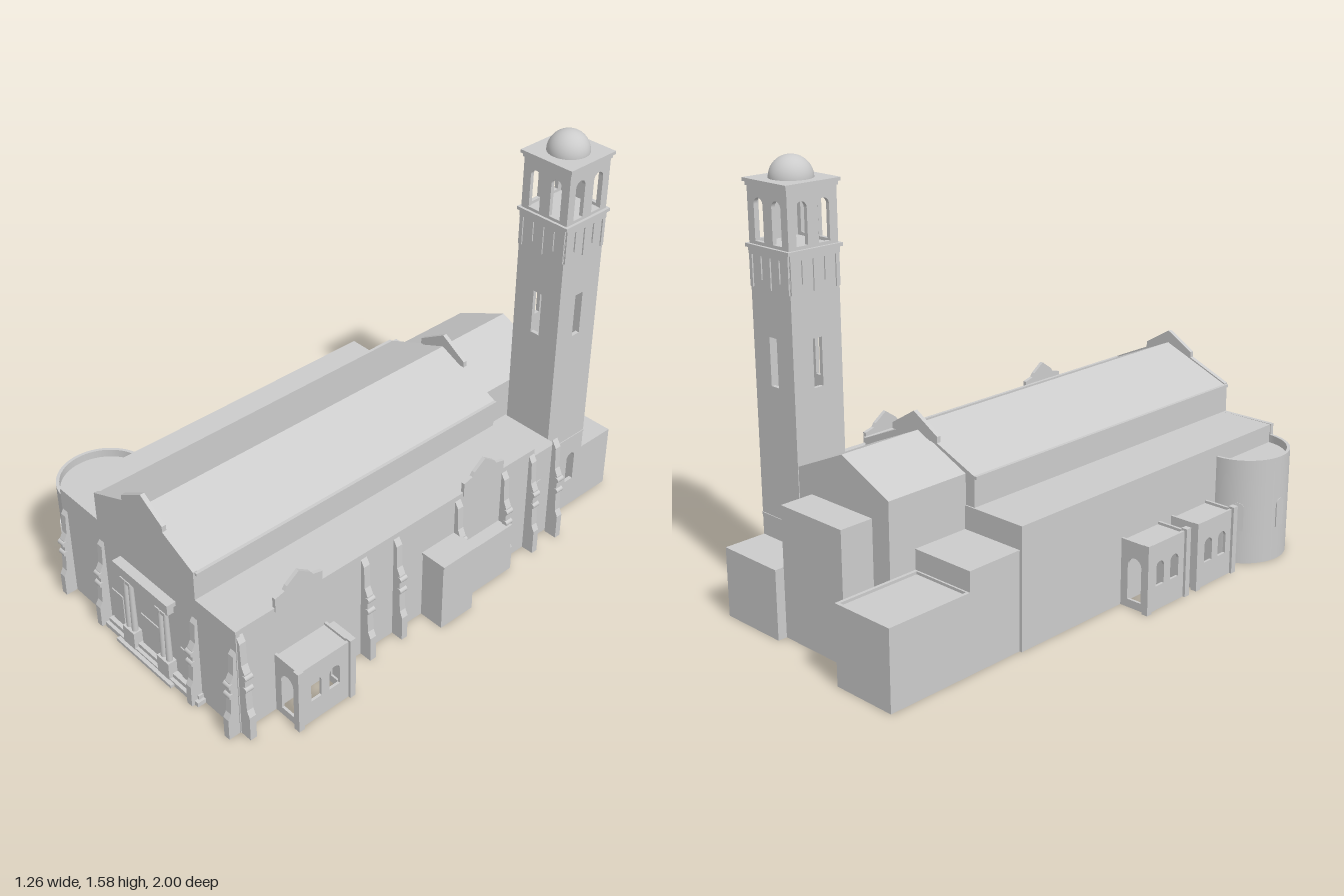
import * as THREE from 'three';
import { toCreasedNormals } from 'three/addons/utils/BufferGeometryUtils.js';

const mat = new THREE.MeshStandardMaterial({ color: 0xcccccc, side: THREE.DoubleSide });

function add(parent, name, geo, x = 0, y = 0, z = 0, ry = 0) {
  const m = new THREE.Mesh(geo, mat);
  m.name = name;
  m.position.set(x, y, z);
  m.rotation.y = ry;
  parent.add(m);
  return m;
}

// Box given by its limits on each axis
function block(parent, name, x0, x1, y0, y1, z0, z1) {
  return add(parent, name, new THREE.BoxGeometry(x1 - x0, y1 - y0, z1 - z0),
    (x0 + x1) / 2, (y0 + y1) / 2, (z0 + z1) / 2);
}

const poly = pts => new THREE.Shape(pts.map(p => new THREE.Vector2(...p)));
const extrude = (shape, depth) =>
  new THREE.ExtrudeGeometry(shape, { depth, bevelEnabled: false, curveSegments: 24 });

// Round-headed opening outline
function arch(cx, w, y0, y1) {
  const s = new THREE.Shape(), r = w / 2;
  s.moveTo(cx - r, y0);
  s.lineTo(cx + r, y0);
  s.lineTo(cx + r, y1 - r);
  s.absarc(cx, y1 - r, r, 0, Math.PI, false);
  s.lineTo(cx - r, y0);
  return s;
}

// Upright wall centred on x, with openings
function wall(w, h, t, holes) {
  const s = poly([[-w / 2, 0], [w / 2, 0], [w / 2, h], [-w / 2, h]]);
  s.holes.push(...holes);
  return extrude(s, t);
}

// Stepped buttress with two roll mouldings; local +z points outward
function buttress(parent, x, z, ry, h = 0.43, w = 0.026) {
  const g = new THREE.Group();
  g.name = 'buttress';
  const k = h / 0.43;
  const profile = [[0, 0], [0.052, 0], [0.052, 0.1], [0.04, 0.125], [0.036, 0.2],
    [0.036, 0.28], [0.022, 0.31], [0.018, 0.4], [0, 0.43]].map(([d, y]) => [d, y * k]);
  const shaft = extrude(poly(profile), w);
  shaft.translate(0, 0, -w / 2);
  add(g, 'buttressShaft', shaft, 0, 0, 0, -Math.PI / 2);
  for (const y of [0.215, 0.265]) {
    const roll = new THREE.CylinderGeometry(0.011, 0.011, w + 0.006, 12);
    roll.rotateZ(Math.PI / 2);
    add(g, 'buttressRoll', roll, 0, y * k, 0.034);
  }
  g.position.set(x, 0, z);
  g.rotation.y = ry;
  parent.add(g);
}

// Arcaded side porch; local +z points outward
function porch(parent, x, z, ry, w, d, h) {
  const g = new THREE.Group(), t = 0.01;
  g.name = 'sidePorch';
  add(g, 'porchFront', wall(w, h, t, [arch(-0.04, 0.045, 0.09, 0.18), arch(0.04, 0.045, 0.09, 0.18)]), 0, 0, d - t);
  for (const s of [-1, 1]) {
    add(g, 'porchEnd', wall(d, h, t, [arch(0, d * 0.5, 0.03, 0.19)]),
      s * (w / 2 - t), 0, d / 2, s * Math.PI / 2);
    block(g, 'porchPost', s * w / 2 - 0.012, s * w / 2 + 0.012, 0, h + 0.008, d - 0.014, d + 0.01);
  }
  block(g, 'porchRoof', -w / 2, w / 2, h - 0.025, h - 0.01, 0, d);
  g.position.set(x, 0, z);
  g.rotation.y = ry;
  parent.add(g);
}

function hall(root) {
  const g = new THREE.Group();
  g.name = 'hall';
  root.add(g);
  block(g, 'aisles', -0.46, 0.5, 0, 0.445, -0.435, 0.945);
  add(g, 'nave', extrude(poly([[-0.24, 0.44], [0.3, 0.44], [0.3, 0.555], [0.04, 0.67], [-0.24, 0.555]]), 1.37), 0, 0, -0.43);
  for (const [x0, x1] of [[-0.25, -0.235], [0.295, 0.31]]) block(g, 'eaves', x0, x1, 0.545, 0.556, -0.43, 0.945);
  // Gabled parapets at both ends
  const gable = [[0.3, 0.445], [0.3, 0.56], [0.148, 0.63], [0.148, 0.652], [0.04, 0.718],
    [-0.072, 0.652], [-0.072, 0.63], [-0.24, 0.56], [-0.24, 0.445]];
  add(g, 'frontFacade', extrude(poly([[-0.463, 0], [0.503, 0], [0.503, 0.447], ...gable, [-0.463, 0.447]]), 0.017), 0, 0, 0.935);
  add(g, 'rearParapet', extrude(poly(gable.slice(2, 7)), 0.016), 0, 0, -0.436);
  // Stepped gables over the right wall
  for (const z of [0.69, -0.165]) {
    const s = poly([[-0.1, 0.43], [0.1, 0.43], [0.1, 0.485], [0.06, 0.495], [0.05, 0.51], [0, 0.545],
      [-0.05, 0.51], [-0.06, 0.495], [-0.1, 0.485]]);
    add(g, 'sideGable', extrude(s, 0.014), 0.49, 0, z, Math.PI / 2);
  }
  for (const z of [0.935, 0.405, 0.255, -0.04, -0.275, -0.42, -0.55]) buttress(g, 0.497, z, Math.PI / 2);
  for (const x of [-0.445, -0.225, 0.29, 0.487]) buttress(g, x, 0.945, 0, 0.37);
  // Right annexes and porches
  block(g, 'annex', 0.5, 0.6, 0, 0.285, -0.03, 0.125);
  block(g, 'annexCap', 0.5, 0.608, 0.277, 0.287, -0.034, 0.13);
  block(g, 'lowAnnex', 0.5, 0.55, 0, 0.21, -0.28, -0.07);
  porch(g, 0.5, 0.685, Math.PI / 2, 0.225, 0.12, 0.25);
  block(g, 'porchReturn', 0.5, 0.585, 0, 0.23, 0.54, 0.575);
  for (const z of [0.17, 0.445]) porch(g, -0.46, z, -Math.PI / 2, 0.21, 0.12, 0.25);
}

function portal(root) {
  const g = new THREE.Group();
  g.name = 'portal';
  root.add(g);
  block(g, 'lowerStep', -0.205, 0.32, 0, 0.018, 0.94, 0.985);
  block(g, 'upperStep', -0.2, 0.31, 0, 0.034, 0.94, 0.972);
  block(g, 'entranceStep', -0.12, 0.19, 0, 0.012, 0.94, 1);
  block(g, 'entablature', -0.1, 0.175, 0.305, 0.335, 0.94, 0.978);
  block(g, 'cornice', -0.115, 0.19, 0.345, 0.363, 0.94, 0.988);
  block(g, 'frieze', -0.105, 0.18, 0.335, 0.345, 0.94, 0.972);
  for (let i = 0; i < 14; i++) block(g, 'dentil', -0.1 + i * 0.0203, -0.09 + i * 0.0203, 0.335, 0.345, 0.97, 0.982);
  // Paired columns on pedestals
  for (const x of [-0.075, -0.045, 0.12, 0.15]) {
    add(g, 'column', new THREE.CylinderGeometry(0.009, 0.012, 0.22, 14), x, 0.19, 0.968);
    block(g, 'capital', x - 0.013, x + 0.013, 0.293, 0.307, 0.95, 0.982);
  }
  for (const x of [-0.06, 0.135]) block(g, 'pedestal', x - 0.032, x + 0.032, 0, 0.085, 0.945, 0.987);
  for (const [x0, x1] of [[-0.19, -0.125], [-0.02, 0.09], [0.2, 0.265]]) {
    block(g, 'door', x0, x1, 0.01, 0.17, 0.945, 0.956);
  }
}

// Rounded chapel with a raised rim on the left front corner
function apse(root) {
  const g = new THREE.Group();
  g.name = 'apse';
  root.add(g);
  const half = r => new THREE.Shape().absarc(0, 0, r, Math.PI / 2, Math.PI * 1.5, false);
  const ring = half(0.172);
  ring.absarc(0, 0, 0.16, Math.PI * 1.5, Math.PI / 2, true);
  const up = (s, h) => toCreasedNormals(extrude(s, h).rotateX(-Math.PI / 2), 0.6);
  add(g, 'apseWall', up(ring, 0.405));
  add(g, 'apseBody', up(half(0.165), 0.375));
  for (const a of [-1.02, 0, 1.02]) {
    const px = -Math.cos(a) * 0.168, pz = Math.sin(a) * 0.168;
    add(g, 'apseWindow', extrude(arch(0, 0.042, 0.13, 0.24), 0.007), px, 0, pz, Math.atan2(px, pz));
  }
  g.position.set(-0.456, 0, 0.772);
}

function rearBlocks(root) {
  const g = new THREE.Group();
  g.name = 'rearBlocks';
  root.add(g);
  add(g, 'choir', extrude(poly([[-0.2, 0], [0.245, 0], [0.245, 0.555], [0.022, 0.655], [-0.2, 0.555]]), 0.345), 0, 0, -0.77);
  block(g, 'rearCentreBlock', -0.12, 0.18, 0, 0.475, -0.9, -0.76);
  block(g, 'rearRightBlock', 0.18, 0.45, 0, 0.255, -0.935, -0.765);
  block(g, 'towerLink', 0.24, 0.49, 0, 0.4, -0.56, -0.43);
  add(g, 'linkWindow', extrude(arch(0, 0.045, 0.1, 0.27), 0.006), 0.487, 0, -0.485, Math.PI / 2);
  block(g, 'leftStepBlock', -0.45, -0.2, 0, 0.36, -0.66, -0.43);
  block(g, 'leftRearBlock', -0.45, -0.2, 0, 0.277, -1, -0.655);
  // Low parapet around the rear block
  for (const x of [-0.45, -0.212]) block(g, 'parapet', x, x + 0.012, 0.27, 0.287, -1, -0.655);
  for (const z of [-1, -0.667]) block(g, 'parapet', -0.45, -0.2, 0.27, 0.287, z, z + 0.012);
}

function tower(root) {
  const g = new THREE.Group(), r = 0.1025, t = 0.015;
  g.name = 'tower';
  root.add(g);
  for (let i = 0; i < 4; i++) {
    const side = new THREE.Group();
    side.name = 'towerSide';
    side.rotation.y = i * Math.PI / 2;
    g.add(side);
    const holes = [poly([[-0.019, 0.81], [0.019, 0.81], [0.019, 0.98], [-0.019, 0.98]]),
      arch(-0.046, 0.047, 1.295, 1.44), arch(0.046, 0.047, 1.295, 1.44)];
    if (i === 1) holes.push(arch(-0.042, 0.043, 0.125, 0.255), arch(0.042, 0.043, 0.125, 0.255));
    add(side, 'towerWall', wall(2 * r, 1.49, t, holes), 0, 0, r - t);
    // Hanging strips below the belfry ledge
    for (let k = -2; k <= 2; k++) {
      const x = k * 0.047;
      block(side, 'towerStrip', x - 0.007, x + 0.007, k % 2 ? 1.17 : 1.14, 1.265, r - 0.002, r + 0.005);
    }
    block(side, 'stripBand', -r, r, 1.25, 1.275, r - 0.002, r + 0.006);
    block(side, 'baseBand', -r, r, 0.33, 0.338, r - 0.002, r + 0.003);
  }
  const slab = (name, h, y0, y1) => block(g, name, -h, h, y0, y1, -h, h);
  slab('belfryLedge', 0.113, 1.272, 1.284);
  slab('roofMoulding', 0.107, 1.475, 1.488);
  slab('roofLedge', 0.113, 1.488, 1.5);
  add(g, 'dome', new THREE.SphereGeometry(0.075, 32, 16, 0, Math.PI * 2, 0, Math.PI / 2), 0, 1.5, 0);
  g.position.set(0.348, 0, -0.67);
}

export function createModel() {
  const root = new THREE.Group();
  root.name = 'church';
  hall(root);
  portal(root);
  apse(root);
  rearBlocks(root);
  tower(root);
  return root;
}
